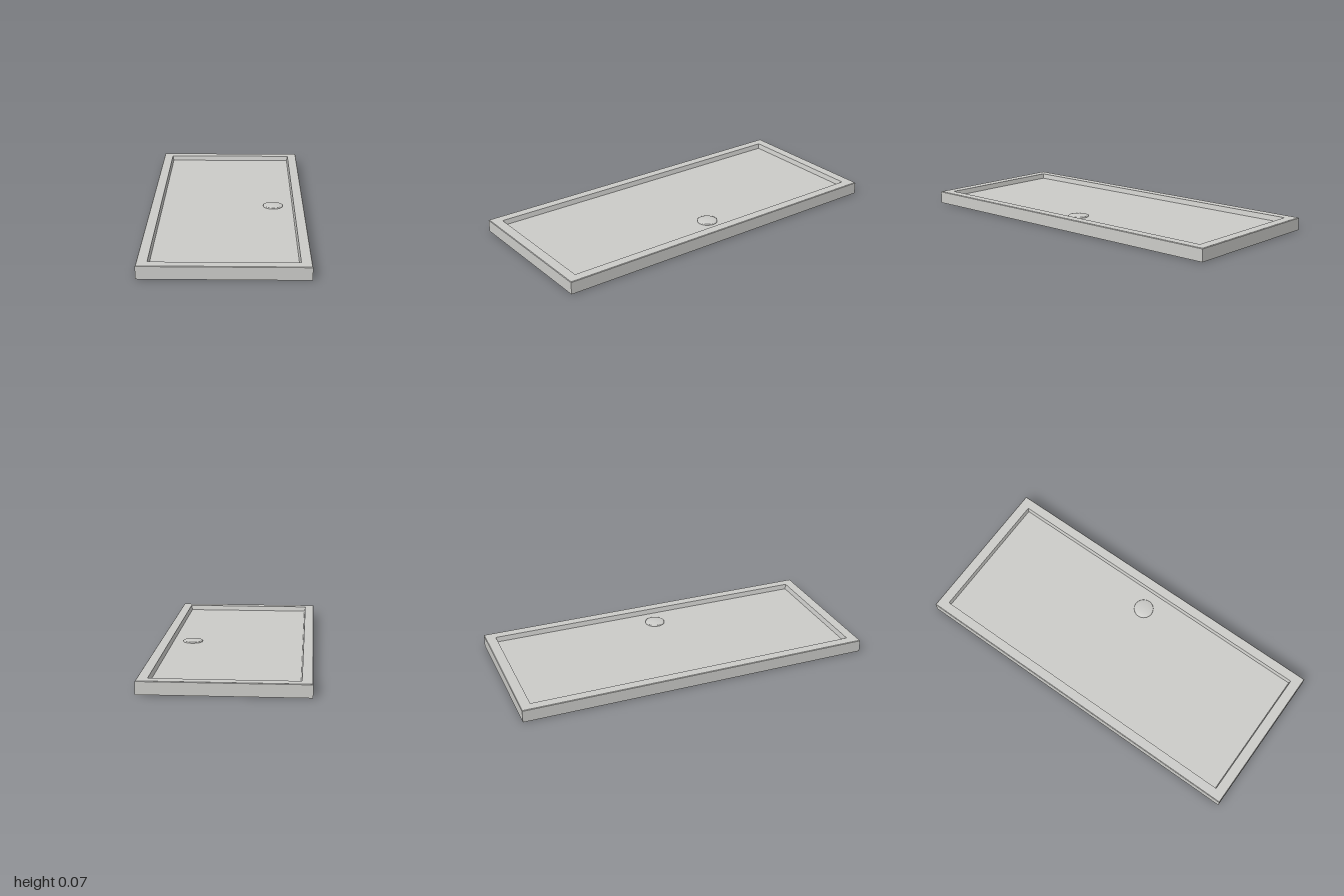
import * as THREE from 'three';

const DRAIN_X = 0.263;
const FLOOR_Y = 0.042;

// Band of faces through rectangular loops given as [halfX, y, halfZ]
function rectLoft(loops) {
  const pos = [];
  const corners = ([x, y, z]) => [[x, y, z], [x, y, -z], [-x, y, -z], [-x, y, z]];
  for (let i = 0; i < loops.length - 1; i++) {
    const a = corners(loops[i]), b = corners(loops[i + 1]);
    for (let k = 0; k < 4; k++) {
      const n = (k + 1) % 4;
      pos.push(...a[k], ...a[n], ...b[n], ...a[k], ...b[n], ...b[k]);
    }
  }
  const geo = new THREE.BufferGeometry();
  geo.setAttribute('position', new THREE.Float32BufferAttribute(pos, 3));
  geo.computeVertexNormals();
  return geo;
}

export function createModel() {
  const group = new THREE.Group();
  group.name = 'showerTray';
  const stone = new THREE.MeshStandardMaterial({ color: 0xcbcbc8, side: THREE.DoubleSide });
  stone.name = 'paleGrey';

  const add = (name, geo, x = 0, y = 0, z = 0) => {
    const mesh = new THREE.Mesh(geo, stone);
    mesh.name = name;
    mesh.position.set(x, y, z);
    group.add(mesh);
    return mesh;
  };

  // Outer skirt, open underneath
  add('outerSkirt', rectLoft([[0.436, 0, 1], [0.436, 0.067, 1]]));

  // Flat rim with a fine eased outer edge
  add('rim', rectLoft([[0.436, 0.067, 1], [0.433, 0.07, 0.997], [0.381, 0.07, 0.942]]));

  // Step down from the rim to the floor
  add('innerStep', rectLoft([[0.381, 0.07, 0.942], [0.375, FLOOR_Y, 0.936]]));

  // Standing floor
  const floor = new THREE.PlaneGeometry(0.75, 1.872);
  floor.rotateX(-Math.PI / 2);
  add('floor', floor, 0, FLOOR_Y, 0);

  // Shallow domed drain cover
  const dome = [[0.056, 0], [0.056, 0.006], [0.052, 0.008], [0.036, 0.011], [0.018, 0.013], [0, 0.0135]];
  add('drainCover', new THREE.LatheGeometry(dome.map(p => new THREE.Vector2(...p)), 40), DRAIN_X, FLOOR_Y, 0);

  // Waste cup hanging below the floor
  add('wasteCup', new THREE.CylinderGeometry(0.058, 0.064, 0.032, 40), DRAIN_X, FLOOR_Y - 0.016, 0);

  return group;
}
